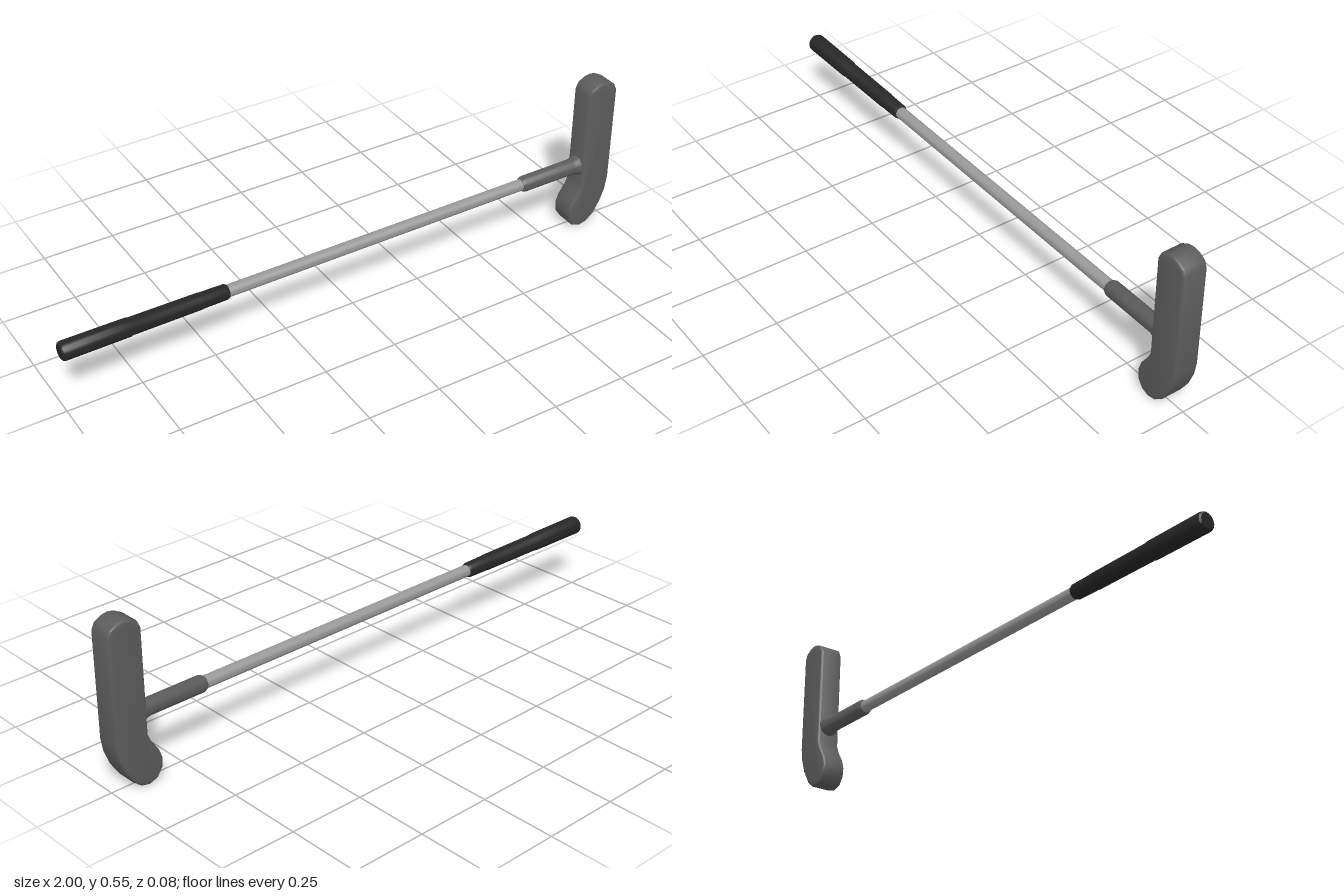
import * as THREE from 'three';
import { toCreasedNormals } from 'three/addons/utils/BufferGeometryUtils.js';

const AXIS_Y = 0.228;

// Turned part along x, from a list of [x, radius]
function turned(name, profile, color, sides = 20) {
  const points = profile.map(([x, r]) => new THREE.Vector2(r, x));
  const geometry = toCreasedNormals(new THREE.LatheGeometry(points, sides), 0.6);
  const mesh = new THREE.Mesh(geometry, new THREE.MeshStandardMaterial({ color }));
  mesh.name = name;
  mesh.rotation.z = -Math.PI / 2;
  mesh.position.y = AXIS_Y;
  return mesh;
}

// Club head: outline with a curved toe, extruded along z with softened edges
function createHead() {
  const outline = [
    [0.888, 0.508], [0.888, 0.165], [0.877, 0.138], [0.852, 0.1], [0.842, 0.07],
    [0.845, 0.038], [0.864, 0.01], [0.893, 0], [0.92, 0.006], [0.947, 0.028],
    [0.975, 0.072], [0.993, 0.12], [1, 0.165], [1, 0.508], [0.99, 0.53],
    [0.965, 0.544], [0.944, 0.548], [0.923, 0.544], [0.898, 0.53],
  ].map(([x, y]) => new THREE.Vector2(x, y));
  const bevel = 0.009;
  const depth = 0.084;
  const extruded = new THREE.ExtrudeGeometry(new THREE.Shape(outline), {
    depth: depth - 2 * bevel,
    bevelEnabled: true,
    bevelThickness: bevel,
    bevelSize: bevel,
    bevelOffset: -bevel,
    bevelSegments: 3,
  });
  extruded.translate(0, 0, bevel - depth / 2);
  const head = new THREE.Mesh(
    toCreasedNormals(extruded, 0.7),
    new THREE.MeshStandardMaterial({ color: 0x5c5c5c })
  );
  head.name = 'clubHead';
  return head;
}

export function createModel() {
  const group = new THREE.Group();
  group.name = 'putter';

  // Stepped grip with a rounded butt
  group.add(turned('grip', [
    [-1, 0], [-1, 0.024], [-0.996, 0.029], [-0.99, 0.031], [-0.78, 0.03],
    [-0.775, 0.028], [-0.54, 0.027], [-0.535, 0.026], [-0.455, 0.025],
    [-0.448, 0.022], [-0.448, 0],
  ], 0x262626));

  group.add(turned('shaft', [[-0.46, 0], [-0.46, 0.02], [0.67, 0.02], [0.67, 0]], 0x999999));

  // Neck sleeve, flaring where it meets the head
  group.add(turned('neck', [
    [0.655, 0], [0.655, 0.022], [0.665, 0.027], [0.86, 0.027],
    [0.875, 0.03], [0.892, 0.037], [0.9, 0.037], [0.9, 0],
  ], 0x5c5c5c));

  group.add(createHead());
  return group;
}
